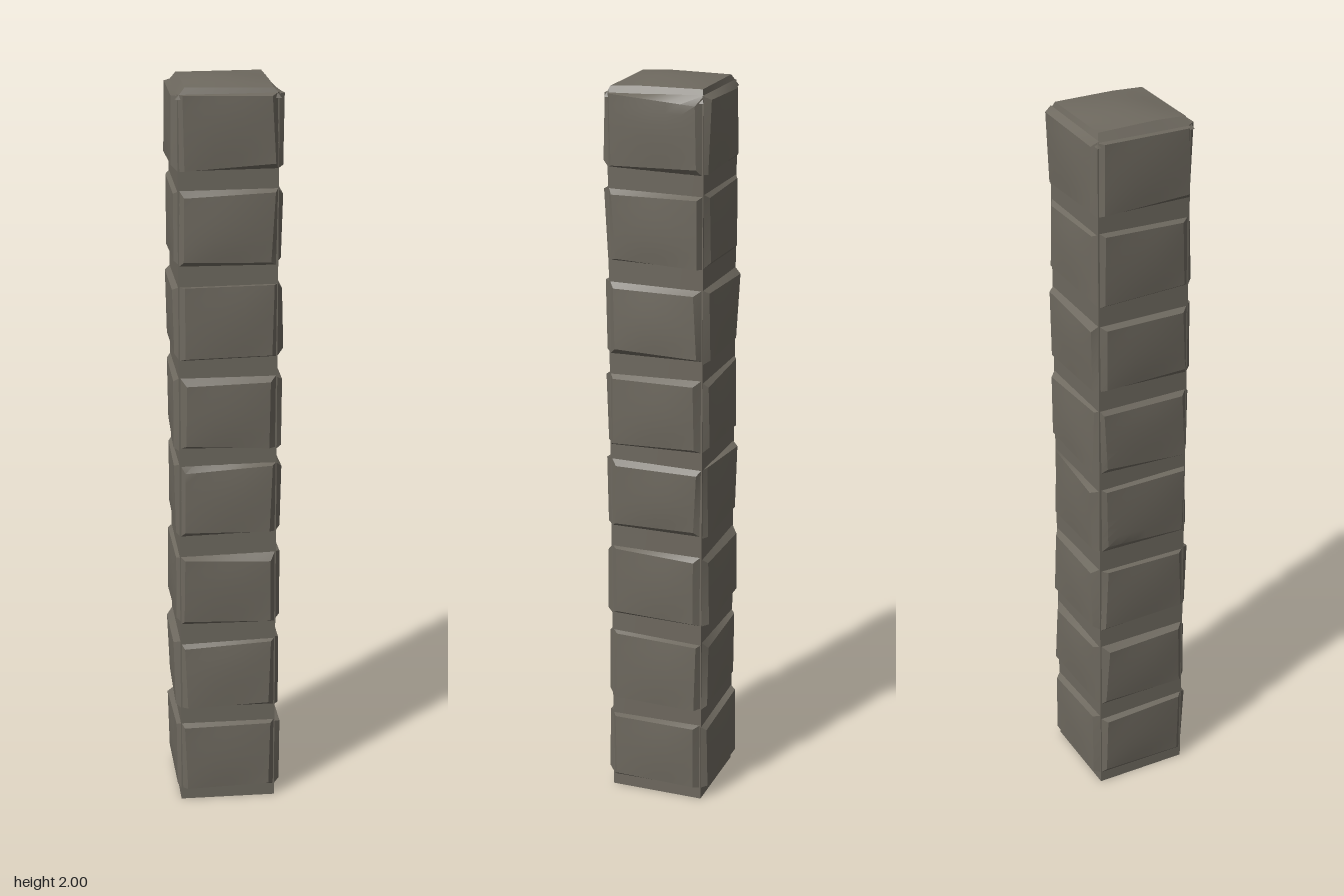
import * as THREE from 'three';
import { toCreasedNormals } from 'three/addons/utils/BufferGeometryUtils.js';

const CORE = 0.13; // half width of the square shaft

// Small seeded generator, returns -1..1
function makeRandom(seed) {
  let s = seed;
  return () => {
    s = (s * 16807) % 2147483647;
    return (s / 2147483647) * 2 - 1;
  };
}

// Rough-hewn stone facing +z: the outer ring of a grid is the buried base,
// the next ring is the face edge, and the inside swells slightly.
function stoneGeometry(halfW, halfH, depth, bevel, swell, random) {
  const n = 8;
  const geo = new THREE.PlaneGeometry(2, 2, n, n);
  const pos = geo.attributes.position;
  const corner = () => [0, 1, 2, 3].map(() => [random() * 0.007, random() * 0.01, random() * 0.005]);
  const face = corner();
  const base = corner();
  const bumpX = random() * 0.4, bumpY = random() * 0.4;
  for (let i = 0; i < pos.count; i++) {
    const col = i % (n + 1), row = Math.floor(i / (n + 1));
    const rim = col === 0 || row === 0 || col === n || row === n;
    const u = THREE.MathUtils.clamp((col - 1) / (n - 2), 0, 1);
    const v = THREE.MathUtils.clamp((row - 1) / (n - 2), 0, 1);
    const w = [(1 - u) * (1 - v), u * (1 - v), (1 - u) * v, u * v];
    const offset = (set, k) => w.reduce((sum, f, j) => sum + f * set[j][k], 0);
    const a = u * 2 - 1, b = 1 - v * 2;
    if (rim) {
      pos.setXYZ(i, a * halfW, b * halfH + offset(base, 1) * 0.6, -0.004);
    } else {
      const dome = (1 - a * a) * (1 - b * b) * (1 + bumpX * a + bumpY * b);
      pos.setXYZ(i,
        a * (halfW - bevel) + offset(face, 0),
        b * (halfH - bevel * 0.7) + offset(face, 1),
        depth + offset(face, 2) + dome * swell);
    }
  }
  return toCreasedNormals(geo, 0.45);
}

export function createModel() {
  const model = new THREE.Group();
  model.name = 'stonePillar';
  const stone = new THREE.MeshStandardMaterial({ color: 0x6e695f });
  stone.name = 'grey stone';
  const random = makeRandom(4711);

  // Square shaft behind the stones
  const shaft = new THREE.Mesh(new THREE.BoxGeometry(CORE * 2, 1.955, CORE * 2), stone);
  shaft.name = 'shaft';
  shaft.position.y = 1.955 / 2;
  model.add(shaft);

  // Eight courses, one stone on each of the four sides
  const courses = [0.13, 0.377, 0.63, 0.885, 1.127, 1.377, 1.627, 1.872];
  courses.forEach((y, level) => {
    const course = new THREE.Group();
    course.name = 'course' + (level + 1);
    course.position.y = y;
    for (let side = 0; side < 4; side++) {
      const geo = stoneGeometry(CORE, 0.1, 0.013, 0.016, 0.004, random);
      geo.translate(0, 0, CORE);
      geo.rotateY(side * Math.PI / 2);
      const block = new THREE.Mesh(geo, stone);
      block.name = ['front', 'left', 'back', 'right'][side] + 'Stone';
      course.add(block);
    }
    model.add(course);
  });

  // Rounded cap stone, falling away a little to the front
  const capGeo = stoneGeometry(0.135, 0.135, 0.03, 0.024, 0.01, random);
  capGeo.rotateX(-Math.PI / 2);
  const p = capGeo.attributes.position;
  for (let i = 0; i < p.count; i++) {
    const z = p.getZ(i);
    if (z > 0.04) p.setY(i, p.getY(i) - Math.max(0, p.getY(i)) * 2.2 * (z - 0.04));
  }
  capGeo.computeBoundingBox();
  capGeo.translate(0, 2 - capGeo.boundingBox.max.y, 0);
  const cap = new THREE.Mesh(toCreasedNormals(capGeo, 0.45), stone);
  cap.name = 'capStone';
  model.add(cap);

  return model;
}
